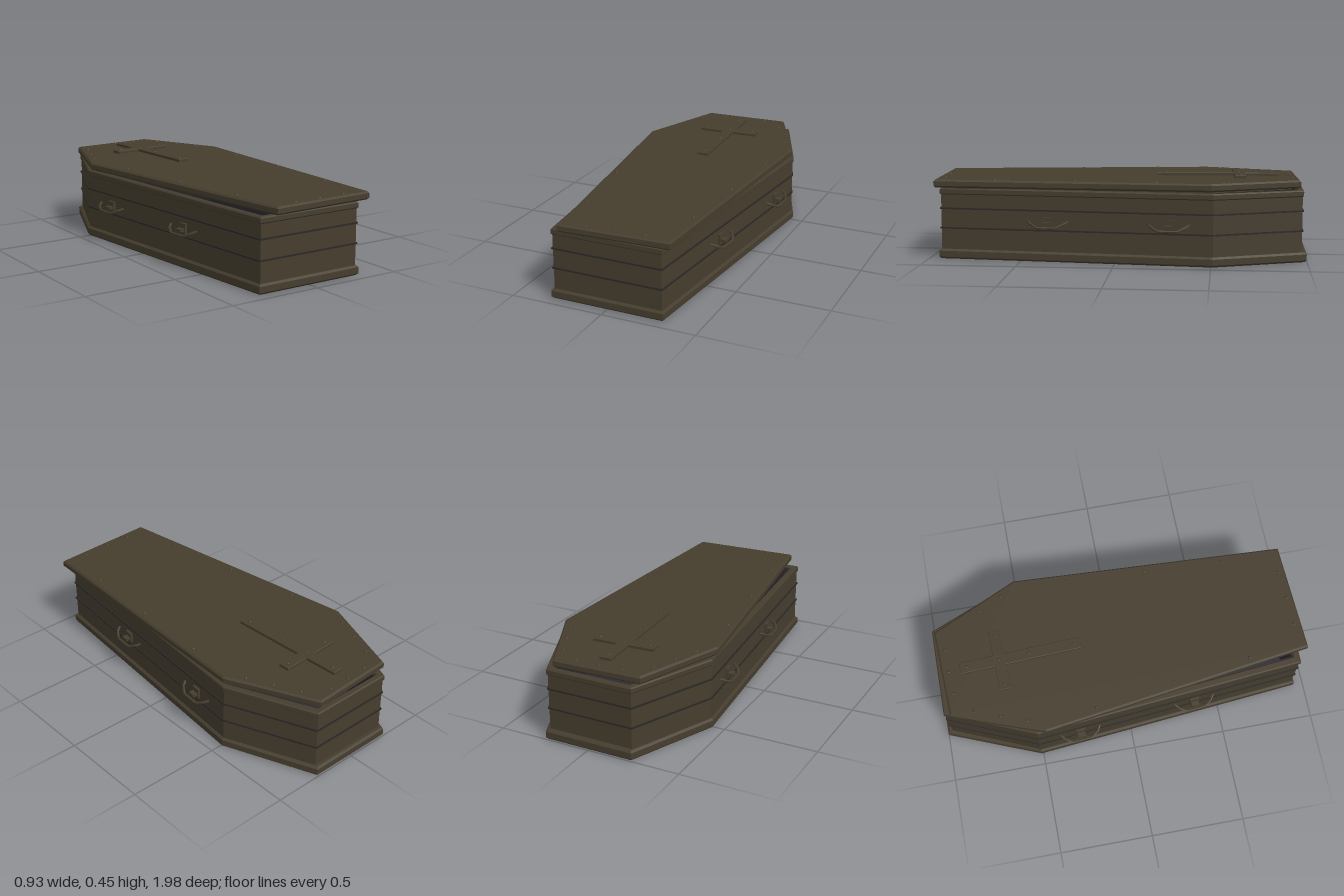
import * as THREE from 'three';

const wood = new THREE.MeshStandardMaterial({ name: 'darkWood', color: 0x453d2e });
const iron = new THREE.MeshStandardMaterial({ name: 'bandIron', color: 0x2b2926 });
const lining = new THREE.MeshStandardMaterial({ name: 'lining', color: 0x2e2a34 });
wood.flatShading = iron.flatShading = lining.flatShading = true;

// Six-sided plan: foot at +z, shoulders, head at -z; grow pushes every side outward
function plan(foot, shoulder, head, zFoot, zShoulder, zHead, grow = 0) {
  const f = foot + grow, s = shoulder + grow, h = head + grow * 0.8;
  const zf = zFoot + grow, zh = zHead - grow;
  return [[-f, zf], [f, zf], [s, zShoulder], [h, zh], [-h, zh], [-s, zShoulder]];
}
const bodyPlan = (grow) => plan(0.295, 0.428, 0.232, 0.933, -0.51, -0.972, grow);
const lidPlan = (grow) => plan(0.295, 0.435, 0.237, 0.965, -0.49, -0.962, grow);
const toPoints = (pts) => pts.map(([x, z]) => new THREE.Vector2(x, -z));

// Slab or ring with the given plan between two heights
function slab(name, material, outer, y0, y1, bevel = 0, inner = null) {
  const shape = new THREE.Shape(toPoints(outer));
  if (inner) shape.holes.push(new THREE.Path(toPoints(inner)));
  const geo = new THREE.ExtrudeGeometry(shape, {
    depth: y1 - y0 - 2 * bevel, bevelEnabled: bevel > 0, bevelSegments: 1,
    bevelSize: bevel, bevelThickness: bevel, bevelOffset: -bevel,
  });
  geo.rotateX(-Math.PI / 2).translate(0, y0 + bevel, 0);
  const mesh = new THREE.Mesh(geo, material);
  mesh.name = name;
  return mesh;
}

function box(name, w, h, d, x, y, z) {
  const mesh = new THREE.Mesh(new THREE.BoxGeometry(w, h, d), wood);
  mesh.name = name;
  mesh.position.set(x, y, z);
  return mesh;
}

// Domed nail head
function nail(x, y, z) {
  const geo = new THREE.SphereGeometry(0.009, 8, 4, 0, Math.PI * 2, 0, Math.PI / 2);
  const mesh = new THREE.Mesh(geo, wood);
  mesh.name = 'nail';
  mesh.scale.y = 0.8;
  mesh.position.set(x, y, z);
  return mesh;
}

// Bail handle, built sticking out along +x
function handle() {
  const group = new THREE.Group();
  group.name = 'handle';
  group.add(box('handlePlate', 0.014, 0.055, 0.05, 0.006, 0.21, 0));
  group.add(box('handleBracket', 0.04, 0.014, 0.04, 0.02, 0.205, 0));
  const path = new THREE.CurvePath();
  const pts = [[0, 0.213, -0.107], [0.025, 0.203, -0.09], [0.046, 0.184, -0.05],
    [0.046, 0.184, 0.05], [0.025, 0.203, 0.09], [0, 0.213, 0.107]]
    .map((p) => new THREE.Vector3(...p));
  for (let i = 0; i < pts.length - 1; i++) path.add(new THREE.LineCurve3(pts[i], pts[i + 1]));
  const bar = new THREE.Mesh(new THREE.TubeGeometry(path, 24, 0.007, 6), wood);
  bar.name = 'handleBar';
  group.add(bar);
  return group;
}

export function createModel() {
  const model = new THREE.Group();
  model.name = 'coffin';

  // Hollow box with base and rim mouldings
  const inside = bodyPlan(-0.03);
  model.add(slab('base', wood, bodyPlan(0.013).map(([x, z]) => [x, z < -0.6 ? -0.998 : z]), 0, 0.052, 0.01));
  model.add(slab('walls', wood, bodyPlan(0), 0.05, 0.36, 0, inside));
  model.add(slab('rim', wood, bodyPlan(0.006), 0.344, 0.378, 0.006, inside));
  model.add(slab('liningWalls', lining, bodyPlan(-0.029), 0.052, 0.365, 0, bodyPlan(-0.036)));
  model.add(slab('liningFloor', lining, bodyPlan(-0.032), 0.05, 0.065));

  // Thin bands round the walls
  for (const y of [0.165, 0.27]) {
    model.add(slab('band', iron, bodyPlan(0.006), y - 0.004, y + 0.004, 0, bodyPlan(-0.01)));
  }

  // Two handles on each slanted long side
  const slant = Math.atan2(0.133, 1.443);
  for (const z of [-0.282, 0.353]) {
    const x = 0.428 - (z + 0.51) * (0.133 / 1.443);
    for (const side of [1, -1]) {
      const h = handle();
      h.position.set(side * x, 0, z);
      h.rotation.y = side > 0 ? -slant : Math.PI + slant;
      model.add(h);
    }
  }

  // Lid, resting slightly askew
  const lid = new THREE.Group();
  lid.name = 'lid';
  lid.position.set(0.014, 0, 0.008);
  lid.rotation.y = 0.045;
  lid.add(slab('lidBoard', wood, lidPlan(0), 0.386, 0.428, 0.009));
  lid.add(slab('lidLip', wood, lidPlan(-0.045), 0.376, 0.39));

  // Three nails along every edge of the lid
  const edge = lidPlan(-0.038);
  edge.forEach(([x0, z0], i) => {
    const [x1, z1] = edge[(i + 1) % edge.length];
    for (const t of [0.2, 0.5, 0.8]) {
      lid.add(nail(x0 + (x1 - x0) * t, 0.427, z0 + (z1 - z0) * t));
    }
  });

  // Nailed cross on the lid
  const cross = new THREE.Group();
  cross.name = 'cross';
  cross.add(slab('crossPlate', wood, [
    [-0.031, -0.21], [0.031, -0.21], [0.031, -0.62], [0.167, -0.62], [0.167, -0.68], [0.031, -0.68],
    [0.031, -0.862], [-0.031, -0.862], [-0.031, -0.68], [-0.167, -0.68], [-0.167, -0.62], [-0.031, -0.62],
  ], 0.425, 0.444, 0.003));
  for (const [x, z] of [[0, -0.825], [0, -0.65], [0, -0.49], [0, -0.25], [-0.138, -0.65], [0.138, -0.65]]) {
    cross.add(nail(x, 0.443, z));
  }
  lid.add(cross);
  model.add(lid);
  return model;
}
